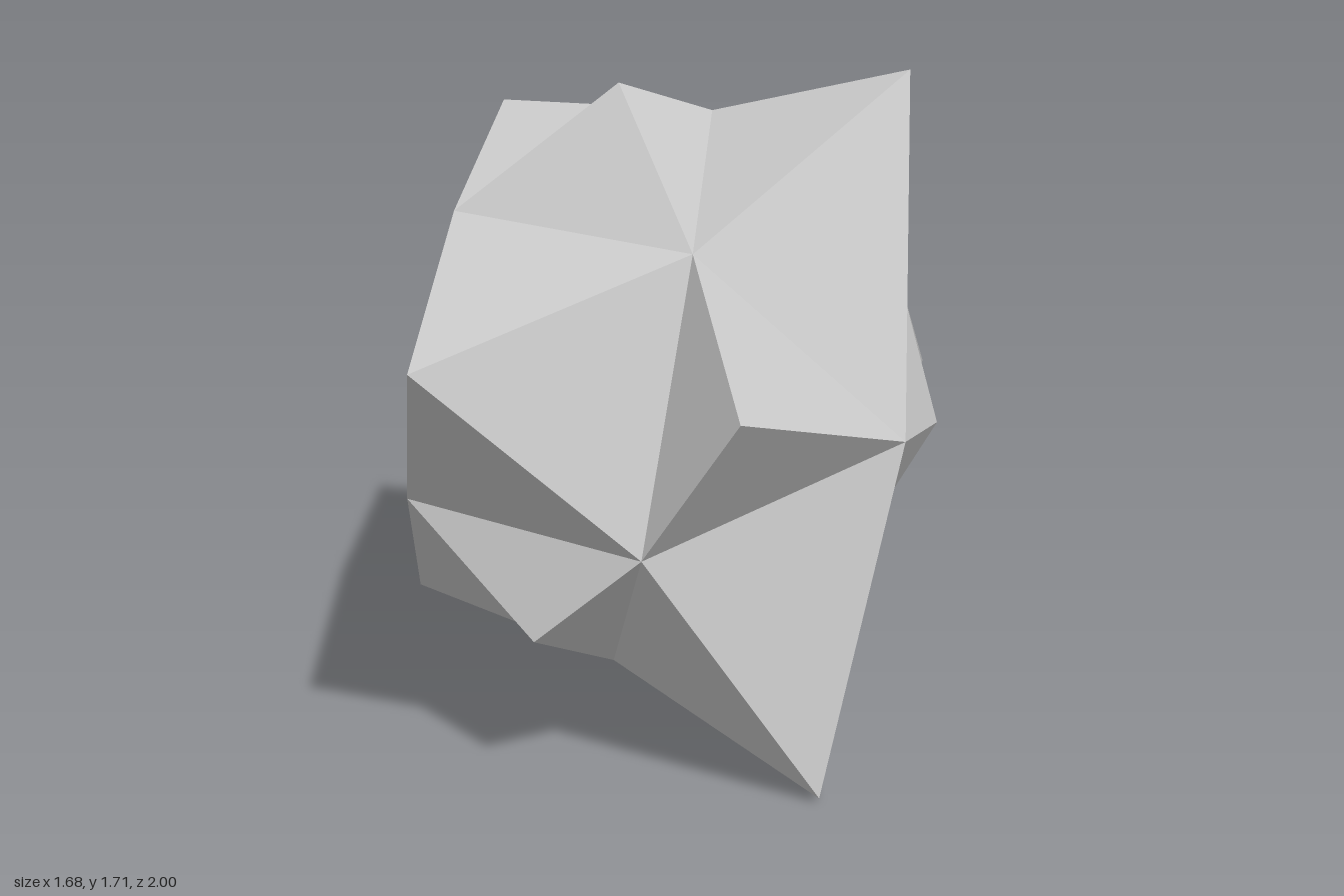
import * as THREE from 'three';

const CENTRE = new THREE.Vector3(0.042, 0.88, 0.088);

// Half the corners of a cuboctahedron core; the other half are their opposites
const HALF = {
  top: [-0.047, 0.685, -0.193],
  back: [0.165, 0.203, -0.66],
  backRight: [-0.515, 0.205, -0.443],
  frontRight: [-0.22, 0.485, 0.468],
  frontLeft: [0.463, 0.48, 0.257],
  left: [0.68, -0.005, -0.213],
};
const OPPOSITE = {
  top: 'bottom', back: 'front', backRight: 'lowFrontLeft',
  frontRight: 'lowBackLeft', frontLeft: 'lowBackRight', left: 'right',
};

// One pyramid per core face: corner loop, then the peak (raised or sunken)
const PYRAMIDS = [
  // square faces
  [['top', 'frontLeft', 'left', 'back'], [0.505, 1.715, -0.305]],
  [['top', 'backRight', 'right', 'frontRight'], [-0.64, 1.525, 0.11]],
  [['frontRight', 'frontLeft', 'lowFrontLeft', 'front'], [0.33, 1.152, 0.995]],
  [['backRight', 'back', 'lowBackLeft', 'lowBackRight'], [-0.155, 0.71, -1]],
  [['right', 'front', 'bottom', 'lowBackRight'], [-0.555, 0.24, 0.47]],
  [['left', 'lowFrontLeft', 'bottom', 'lowBackLeft'], [0.73, 0.02, 0.13]],
  // triangular faces
  [['top', 'frontRight', 'frontLeft'], [0.06, 1.678, 0.23]],
  [['top', 'backRight', 'back'], [-0.165, 1.39, -0.36]],
  [['right', 'frontRight', 'front'], [-0.265, 0.94, 0.35]],
  [['backRight', 'right', 'lowBackRight'], [-0.845, 0.81, -0.165]],
  [['front', 'lowFrontLeft', 'bottom'], [0.33, 0.435, 0.68]],
  [['frontLeft', 'lowFrontLeft', 'left'], [0.84, 1.065, 0.47]],
  [['back', 'left', 'lowBackLeft'], [0.425, 0.77, -0.51]],
  [['lowBackLeft', 'bottom', 'lowBackRight'], [-0.11, 0.005, -0.37]],
];

export function createModel() {
  const corners = {};
  for (const [name, offset] of Object.entries(HALF)) {
    const v = new THREE.Vector3(...offset);
    corners[name] = CENTRE.clone().add(v);
    corners[OPPOSITE[name]] = CENTRE.clone().sub(v);
  }

  const points = [];
  for (const [names, tip] of PYRAMIDS) {
    let loop = names.map((n) => corners[n]);
    const peak = new THREE.Vector3(...tip);

    // turn the loop so that it runs anticlockwise seen from outside
    const normal = loop[1].clone().sub(loop[0]).cross(loop[2].clone().sub(loop[0]));
    if (normal.dot(loop[0].clone().sub(CENTRE)) < 0) loop = loop.reverse();

    loop.forEach((p, i) => points.push(p, loop[(i + 1) % loop.length], peak));
  }

  const geometry = new THREE.BufferGeometry().setFromPoints(points);
  geometry.computeVertexNormals();
  const rock = new THREE.Mesh(
    geometry,
    new THREE.MeshStandardMaterial({ color: 0xcccccc, flatShading: true }),
  );
  rock.name = 'spikyRock';

  const group = new THREE.Group();
  group.name = 'spikyPolyhedron';
  group.add(rock);
  return group;
}
